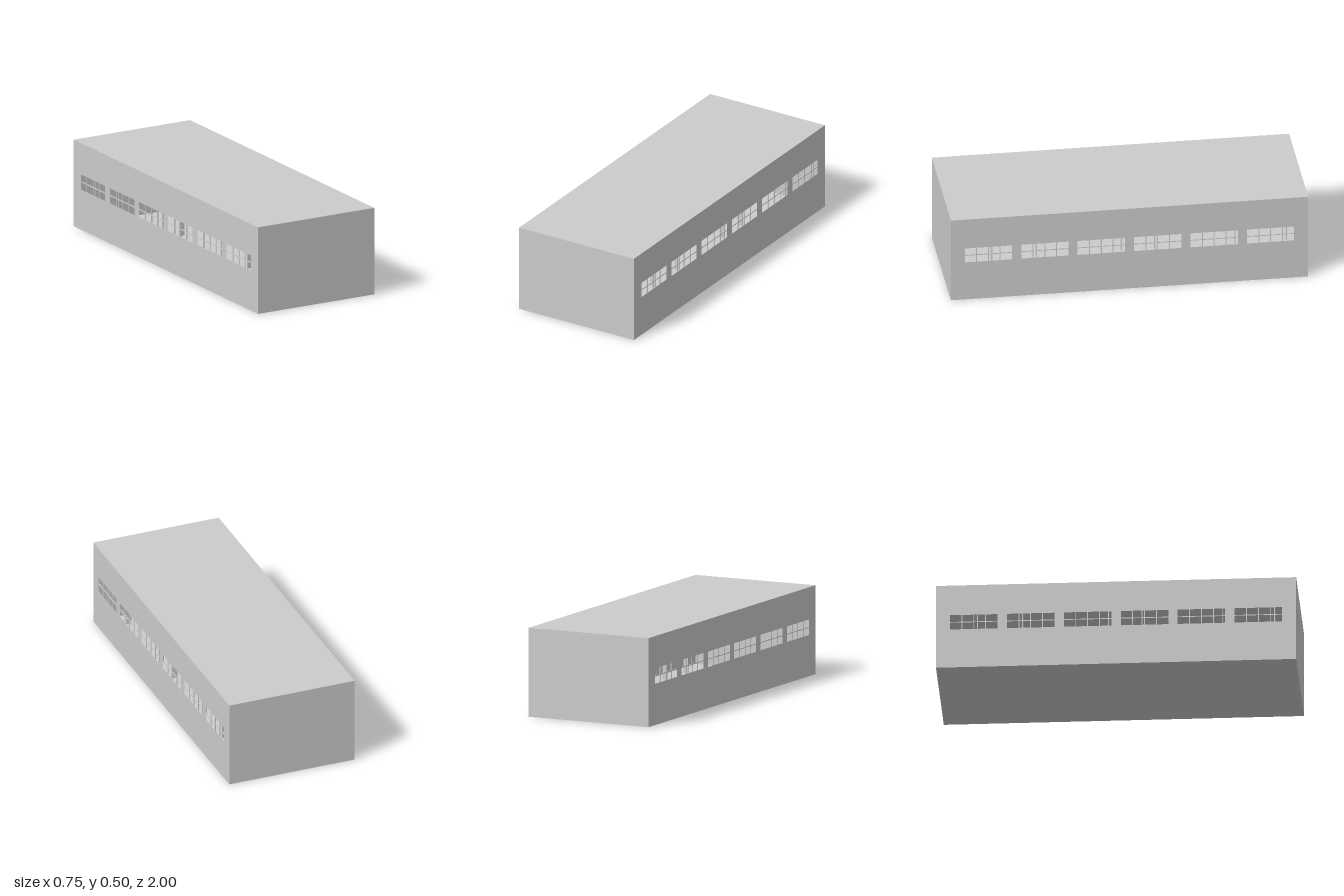
import * as THREE from 'three';

const W = 0.75, H = 0.5, L = 2;
const WIN = { w: 0.264, y0: 0.232, y1: 0.319, pitch: 0.316, panes: 4 };
const BAR = 0.005;

// offset of the opened sash from each window's centre, along the wall
const SASH = [0.02, -0.045, 0.115, -0.015, 0.118, 0.09];

export function createModel() {
  const group = new THREE.Group();
  const mat = new THREE.MeshStandardMaterial({ color: 0xcccccc, side: THREE.DoubleSide });

  const add = (parent, name, geo, x = 0, y = 0, z = 0) => {
    const mesh = new THREE.Mesh(geo, mat);
    mesh.name = name;
    mesh.position.set(x, y, z);
    parent.add(mesh);
    return mesh;
  };

  // Roof, floor and plain end walls
  add(group, 'roof', new THREE.PlaneGeometry(W, L), 0, H, 0).rotation.x = -Math.PI / 2;
  add(group, 'floor', new THREE.PlaneGeometry(W, L), 0, 0, 0).rotation.x = Math.PI / 2;
  add(group, 'frontWall', new THREE.PlaneGeometry(W, H), 0, H / 2, L / 2);
  add(group, 'backWall', new THREE.PlaneGeometry(W, H), 0, H / 2, -L / 2).rotation.y = Math.PI;

  const rect = (path, x0, y0, x1, y1) =>
    path.moveTo(x0, y0).lineTo(x1, y0).lineTo(x1, y1).lineTo(x0, y1).closePath();

  // Long wall with a row of glazing-bar windows, facing local +z
  function longWall(name) {
    const wall = new THREE.Group();
    wall.name = name;
    const shape = new THREE.Shape();
    rect(shape, -L / 2, 0, L / 2, H);
    const midY = (WIN.y0 + WIN.y1) / 2, h = WIN.y1 - WIN.y0;

    SASH.forEach((offset, i) => {
      const u = (i - 2.5) * WIN.pitch;
      const hole = new THREE.Path();
      rect(hole, u - WIN.w / 2, WIN.y0, u + WIN.w / 2, WIN.y1);
      shape.holes.push(hole);

      const win = new THREE.Group();
      win.name = 'window';
      win.position.set(u, midY, W / 2 - BAR / 2);
      // middle rail and upright bars
      add(win, 'windowRail', new THREE.BoxGeometry(WIN.w, BAR, BAR));
      for (let k = 1; k < WIN.panes; k++)
        add(win, 'windowBar', new THREE.BoxGeometry(BAR, h, BAR), (k / WIN.panes - 0.5) * WIN.w);
      // sash turned into the room
      add(win, 'openSash', new THREE.BoxGeometry(BAR, h, 0.03), offset, 0, -0.015);
      wall.add(win);
    });

    add(wall, 'wallPanel', new THREE.ShapeGeometry(shape), 0, 0, W / 2);
    group.add(wall);
    return wall;
  }

  longWall('leftWall').rotation.y = Math.PI / 2;
  longWall('rightWall').rotation.y = -Math.PI / 2;
  return group;
}
